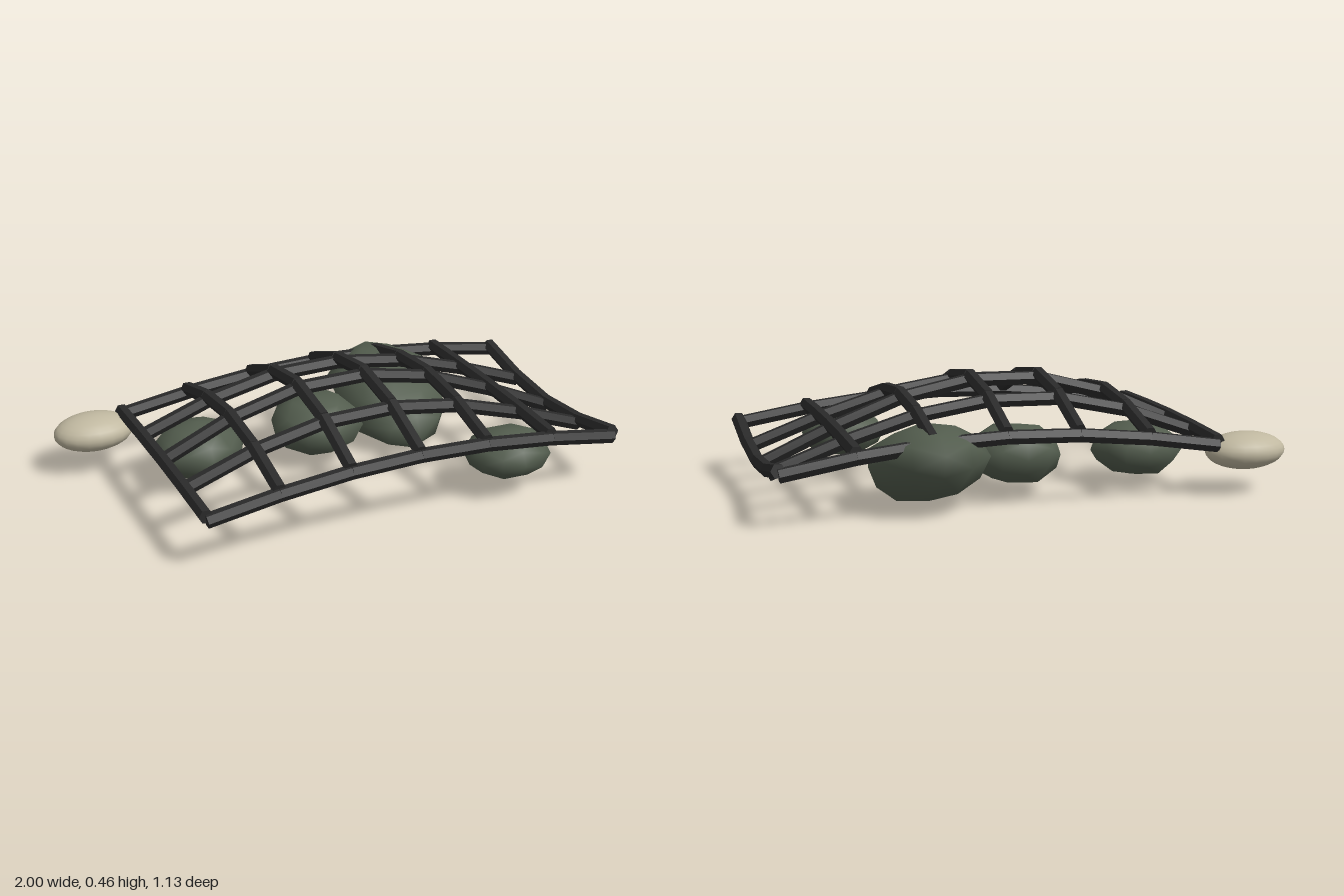
import * as THREE from 'three';
import { mergeVertices } from 'three/addons/utils/BufferGeometryUtils.js';

const netMaterial = new THREE.MeshStandardMaterial({ name: 'charcoal rope', color: 0x2a2a2a });
netMaterial.flatShading = true;
const rockMaterial = new THREE.MeshStandardMaterial({ name: 'moss green stone', color: 0x535d4e });
const floatMaterial = new THREE.MeshStandardMaterial({ name: 'cream', color: 0xc0b8a0 });

// Net nodes: heights along the long edges and along the middle, blended across z
const xs = [-0.71, -0.43, -0.15, 0.13, 0.41, 0.69, 0.97];
const zs = [-0.45, -0.206, 0.038, 0.282, 0.526];
const edgeY = [0.2, 0.245, 0.275, 0.285, 0.275, 0.245, 0.2];
const middleY = [0.21, 0.335, 0.41, 0.415, 0.36, 0.255, 0.13];

function node(i, j, lift) {
  const arch = Math.sin((Math.PI * j) / (zs.length - 1));
  const y = edgeY[i] + (middleY[i] - edgeY[i]) * arch + lift;
  return new THREE.Vector3(xs[i], y, zs[j]);
}

// One straight six-sided strand between two nodes, with a flat face on top
function strand(a, b, name) {
  const along = b.clone().sub(a);
  const mesh = new THREE.Mesh(new THREE.CylinderGeometry(0.028, 0.028, along.length(), 6), netMaterial);
  along.normalize();
  const side = new THREE.Vector3(0, 1, 0).cross(along).normalize();
  const up = new THREE.Vector3().crossVectors(along, side);
  mesh.quaternion.setFromRotationMatrix(new THREE.Matrix4().makeBasis(up, along, side));
  mesh.position.copy(a).add(b).multiplyScalar(0.5);
  mesh.name = name;
  return mesh;
}

function seeded(seed) {
  return () => {
    seed = (seed * 16807) % 2147483647;
    return seed / 2147483647;
  };
}

// Rough boulder, tilted about x, then fitted to the given centre and size
function rock(name, seed, centre, size, shape = [1, 1, 1], tilt = 0) {
  const random = seeded(seed);
  let geometry = new THREE.IcosahedronGeometry(1, 1);
  geometry.deleteAttribute('normal');
  geometry.deleteAttribute('uv');
  geometry = mergeVertices(geometry, 0.001);
  const p = geometry.attributes.position;
  for (let i = 0; i < p.count; i++) {
    const r = 0.92 + 0.14 * random();
    p.setXYZ(i, p.getX(i) * r, p.getY(i) * r, p.getZ(i) * r);
  }
  geometry.scale(...shape);
  geometry.rotateX(tilt);
  geometry.center();
  const box = geometry.boundingBox.getSize(new THREE.Vector3());
  geometry.scale(size[0] / box.x, size[1] / box.y, size[2] / box.z);
  geometry.computeVertexNormals();
  const mesh = new THREE.Mesh(geometry, rockMaterial);
  mesh.position.set(...centre);
  mesh.name = name;
  return mesh;
}

export function createModel() {
  const model = new THREE.Group();
  model.name = 'nettedRocks';

  // Net draped over the rocks; cross strands lie just above the long ones
  const net = new THREE.Group();
  net.name = 'net';
  for (let i = 0; i < xs.length; i++) {
    for (let j = 0; j < zs.length; j++) {
      if (i + 1 < xs.length) net.add(strand(node(i, j, 0), node(i + 1, j, 0), 'longStrand'));
      if (j + 1 < zs.length) net.add(strand(node(i, j, 0.017), node(i, j + 1, 0.017), 'crossStrand'));
    }
  }
  model.add(net);

  // Rocks under the net
  model.add(
    rock('rightRock', 11, [-0.495, 0.145, -0.14], [0.38, 0.22, 0.34]),
    rock('middleRock', 23, [0.01, 0.153, -0.145], [0.37, 0.235, 0.35]),
    rock('largeRock', 37, [0.388, 0.164, -0.268], [0.445, 0.328, 0.6], [0.22, 0.14, 0.31], 0.28),
    rock('frontRock', 51, [0.567, 0.162, 0.415], [0.325, 0.195, 0.295])
  );

  // Smooth float at the back corner
  const float = new THREE.Mesh(new THREE.SphereGeometry(1, 20, 14), floatMaterial);
  float.scale.set(0.16, 0.072, 0.113);
  float.position.set(-0.84, 0.167, -0.415);
  float.name = 'float';
  model.add(float);

  return model;
}
